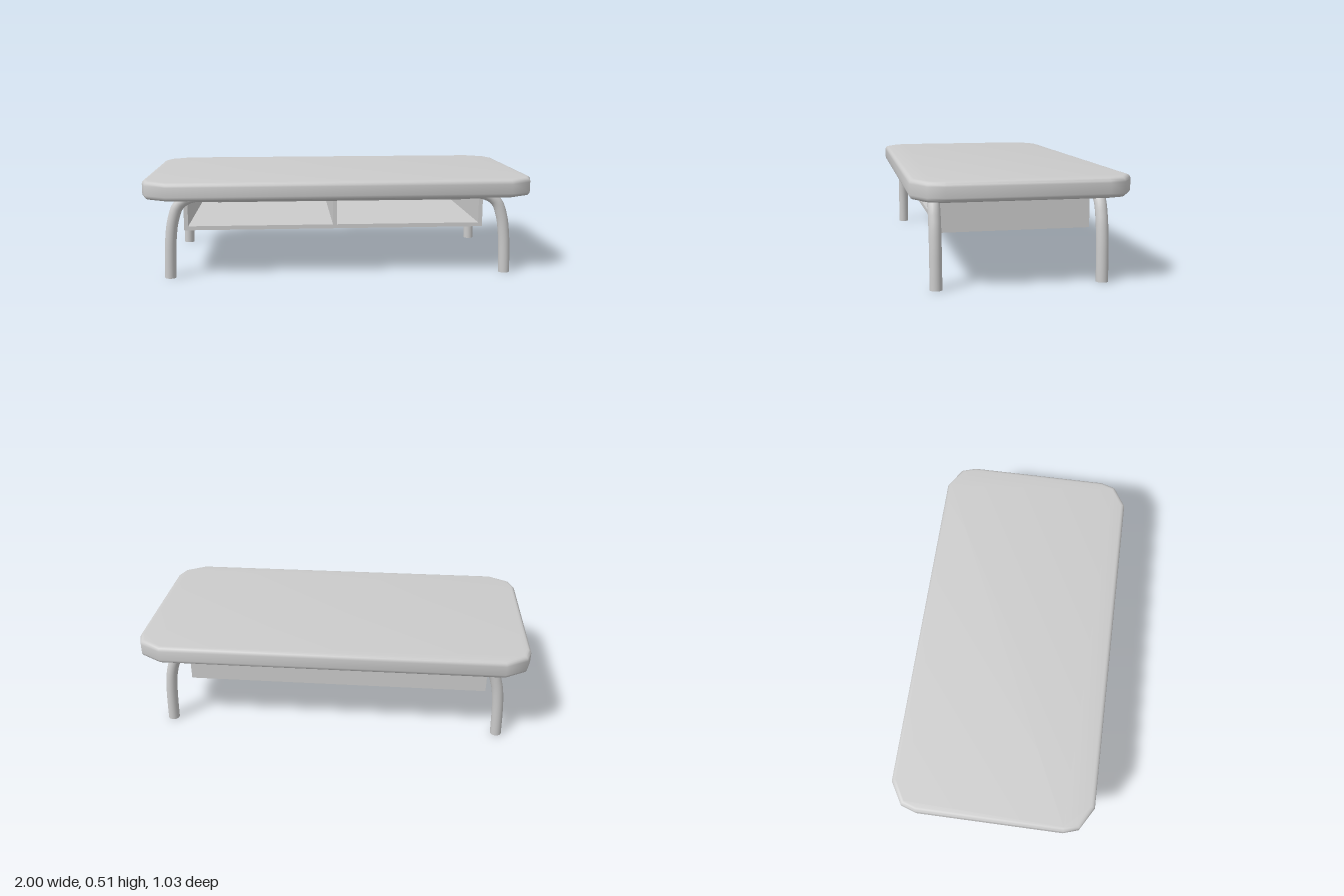
import * as THREE from 'three';
import { toCreasedNormals } from 'three/addons/utils/BufferGeometryUtils.js';

const material = new THREE.MeshStandardMaterial({ color: 0xcccccc });

function add(parent, name, geometry) {
  const mesh = new THREE.Mesh(geometry, material);
  mesh.name = name;
  parent.add(mesh);
  return mesh;
}

// Box given by its minimum and maximum corners
function panel(parent, name, [x0, y0, z0], [x1, y1, z1]) {
  add(parent, name, new THREE.BoxGeometry(x1 - x0, y1 - y0, z1 - z0))
    .position.set((x0 + x1) / 2, (y0 + y1) / 2, (z0 + z1) / 2);
}

// Slab with clipped corners and a rounded rim
function tabletop() {
  const corner = [[1, 0.37], [0.975, 0.447], [0.865, 0.513]];
  const flipped = [...corner].reverse();
  const outline = [
    ...corner,
    ...flipped.map(([x, z]) => [-x, z]),
    ...corner.map(([x, z]) => [-x, -z]),
    ...flipped.map(([x, z]) => [x, -z]),
  ].map(([x, z]) => new THREE.Vector2(x, z));
  const bevel = 0.022, bottom = 0.414, top = 0.506;
  const geometry = new THREE.ExtrudeGeometry(new THREE.Shape(outline), {
    depth: top - bottom - 2 * bevel,
    bevelThickness: bevel, bevelSize: bevel, bevelOffset: -bevel, bevelSegments: 4,
  });
  geometry.rotateX(-Math.PI / 2).translate(0, bottom + bevel, 0);
  return toCreasedNormals(geometry, 0.8);
}

// One bent tube: two feet joined by a rail under the top
function legFrame(parent, name, z) {
  const frame = new THREE.Group();
  frame.name = name;
  frame.position.z = z;
  parent.add(frame);
  const radius = 0.029;
  const half = [[0.871, 0], [0.868, 0.1], [0.862, 0.2], [0.847, 0.3], [0.815, 0.38], [0.75, 0.418], [0.6, 0.419]];
  const points = [
    ...half.map(([x, y]) => new THREE.Vector3(-x, y, 0)),
    ...[...half].reverse().map(([x, y]) => new THREE.Vector3(x, y, 0)),
  ];
  add(frame, 'bentTube', new THREE.TubeGeometry(new THREE.CatmullRomCurve3(points), 80, radius, 20));
  for (const side of [-1, 1]) {
    const cap = add(frame, 'footCap', new THREE.CircleGeometry(radius, 20));
    cap.rotation.x = Math.PI / 2;
    cap.position.set(side * half[0][0], 0.001, 0);
  }
}

// Open-fronted storage box with a central divider
function shelf(parent) {
  const box = new THREE.Group();
  box.name = 'shelf';
  parent.add(box);
  const x0 = -0.798, x1 = 0.755, y0 = 0.238, y1 = 0.412, z0 = -0.355, z1 = 0.364, t = 0.021;
  const mid = (x0 + x1) / 2;
  panel(box, 'shelfBottom', [x0, y0, z0], [x1, y0 + t, z1]);
  panel(box, 'shelfTop', [x0, y1 - t, z0], [x1, y1, z1]);
  panel(box, 'shelfBack', [x0, y0 + t, z0], [x1, y1 - t, z0 + t]);
  for (const [name, x] of [['rightWall', x0], ['divider', mid - t / 2], ['leftWall', x1 - t]]) {
    panel(box, name, [x, y0 + t, z0 + t], [x + t, y1 - t, z1]);
  }
}

export function createModel() {
  const table = new THREE.Group();
  table.name = 'coffeeTable';
  add(table, 'tabletop', tabletop());
  legFrame(table, 'frontLegs', 0.4);
  legFrame(table, 'backLegs', -0.384);
  shelf(table);
  return table;
}
